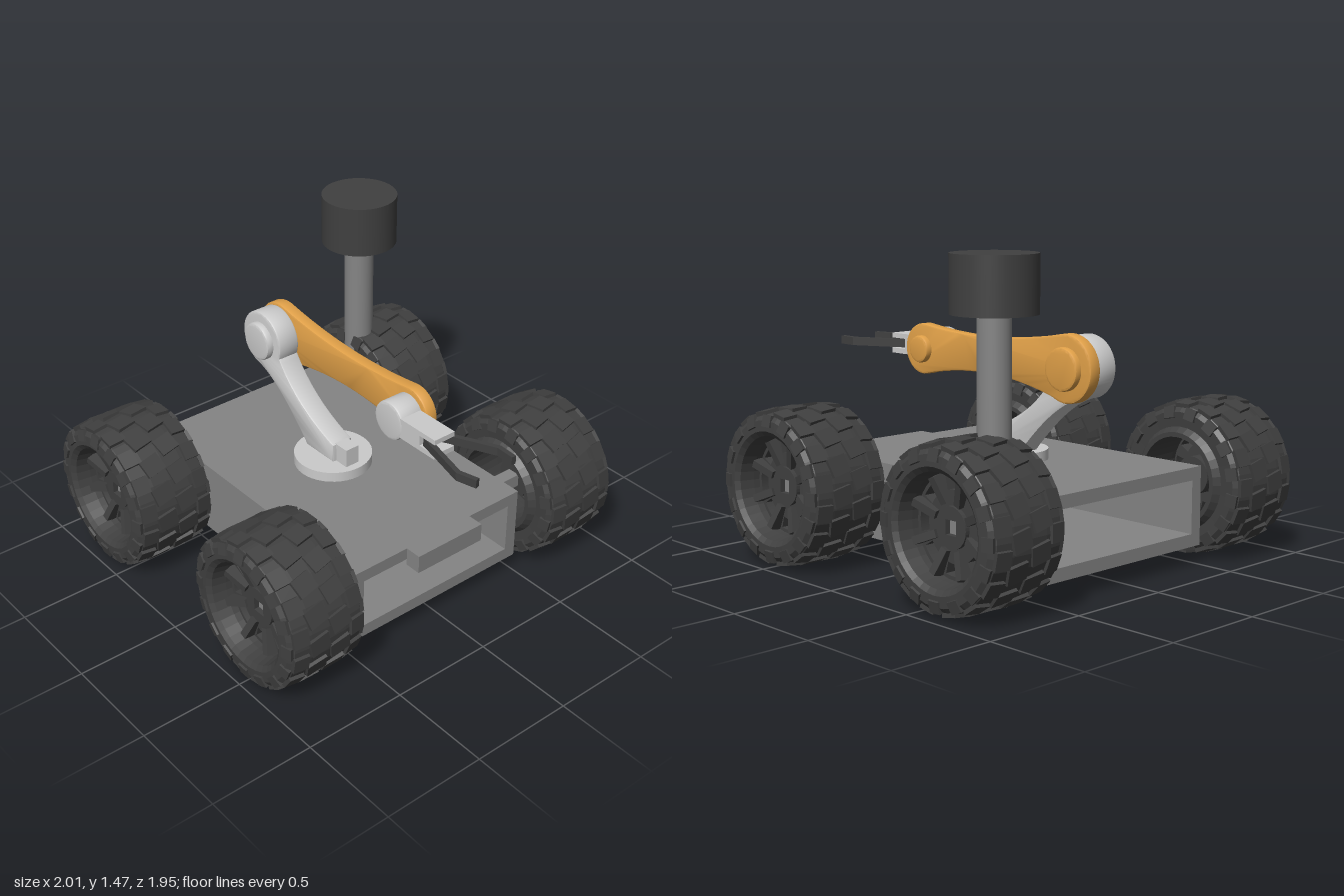
import * as THREE from 'three';
import { mergeGeometries, toCreasedNormals } from 'three/addons/utils/BufferGeometryUtils.js';

const mat = (color, flatShading = false) => {
  const m = new THREE.MeshStandardMaterial({ color });
  m.flatShading = flatShading;
  return m;
};
const light = mat(0xcccccc), grey = mat(0x858585), dark = mat(0x404040);
const rubber = mat(0x404040, true), orange = mat(0xe0a048);
const rad = THREE.MathUtils.degToRad;

function add(parent, name, geometry, material, x = 0, y = 0, z = 0) {
  const mesh = new THREE.Mesh(geometry, material);
  mesh.name = name;
  mesh.position.set(x, y, z);
  parent.add(mesh);
  return mesh;
}

// Box given by its limits on each axis
function addBox(parent, name, material, [x0, x1], [y0, y1], [z0, z1]) {
  return add(parent, name, new THREE.BoxGeometry(x1 - x0, y1 - y0, z1 - z0), material,
    (x0 + x1) / 2, (y0 + y1) / 2, (z0 + z1) / 2);
}

// Plate cut from a shape in the xy plane, between two z positions, edges softened inward
function plate(shape, z0, z1, bevel = 0.01) {
  const g = new THREE.ExtrudeGeometry(shape, {
    depth: z1 - z0 - 2 * bevel, curveSegments: 20, bevelEnabled: bevel > 0,
    bevelThickness: bevel, bevelSize: bevel, bevelOffset: -bevel, bevelSegments: 2,
  });
  g.translate(0, 0, z0 + bevel);
  return toCreasedNormals(g, 0.6);
}

// Round pin along z
function pin(x, y, r, z0, z1) {
  const shape = new THREE.Shape();
  shape.absarc(x, y, r, 0, Math.PI * 2);
  return plate(shape, z0, z1, 0.012);
}

function rectPath(w, h, y = 0) {
  return new THREE.Path([[-w, y - h], [-w, y + h], [w, y + h], [w, y - h]].map(p => new THREE.Vector2(...p)));
}

// Wheel around z with its outer face towards +z
function createWheel() {
  const wheel = new THREE.Group();
  const profile = [
    [0.2, -0.225], [0.222, -0.225], [0.245, -0.195], [0.315, -0.2], [0.342, -0.178],
    [0.352, -0.09], [0.355, 0], [0.352, 0.09], [0.342, 0.178], [0.315, 0.2],
    [0.265, 0.203], [0.242, 0.185], [0.228, 0.12], [0.215, 0], [0.2, -0.225],
  ].map(p => new THREE.Vector2(...p));
  const tyre = new THREE.LatheGeometry(profile, 36);
  tyre.rotateX(Math.PI / 2);
  add(wheel, 'tyre', tyre, rubber);

  // Staggered tread blocks, and shoulder lugs over both edges
  const blocks = [];
  const count = 16;
  const block = (angle, size, radius, z, twist, tilt = 0) => {
    const g = new THREE.BoxGeometry(...size);
    g.rotateX(tilt);
    g.rotateY(twist);
    g.translate(0, radius, z);
    g.rotateZ(angle);
    blocks.push(g);
  };
  for (let i = 0; i < count; i++) {
    const a = (i / count) * Math.PI * 2, half = Math.PI / count;
    block(a, [0.085, 0.03, 0.1], 0.349, 0.056, 0.2);
    block(a + half, [0.085, 0.03, 0.1], 0.349, -0.056, 0.2);
    for (const s of [-1, 1]) {
      const b = a + (s > 0 ? half : 0);
      block(b, [0.08, 0.03, 0.075], 0.343, s * 0.147, 0, s * 0.12);
      block(b + half, [0.06, 0.055, 0.02], 0.312, s * 0.196, 0, -s * 0.25);
    }
  }
  add(wheel, 'tread', mergeGeometries(blocks), rubber);

  // Rim disc with eight windows and a square axle hole
  const disc = new THREE.Shape();
  disc.absarc(0, 0, 0.23, 0, Math.PI * 2);
  disc.holes.push(rectPath(0.032, 0.032));
  const spokes = [];
  for (let i = 0; i < 8; i++) {
    const a = (i / 8) * Math.PI * 2, w = 0.25;
    const hole = new THREE.Path();
    hole.absarc(0, 0, 0.208, a - w, a + w, false);
    hole.absarc(0, 0, 0.155, a + w, a - w, true);
    hole.closePath();
    disc.holes.push(hole);
    // Rib from hub to rim, between the windows
    const rib = new THREE.BoxGeometry(0.12, 0.035, 0.06);
    rib.rotateY(-0.25);
    rib.translate(0.165, 0, 0.1);
    rib.rotateZ(a + Math.PI / 8);
    spokes.push(rib);
  }
  add(wheel, 'rim', plate(disc, 0.03, 0.09, 0), rubber);
  add(wheel, 'spokes', mergeGeometries(spokes), rubber);

  const hub = new THREE.Shape();
  hub.absarc(0, 0, 0.09, 0, Math.PI * 2);
  hub.holes.push(rectPath(0.032, 0.032));
  add(wheel, 'hub', plate(hub, -0.1, 0.11, 0), rubber);
  return wheel;
}

export function createModel() {
  const model = new THREE.Group();
  model.name = 'rover';

  // Hollow chassis, open at both ends along x
  const section = new THREE.Shape([[-0.5, 0.09], [0.5, 0.09], [0.5, 0.46], [-0.5, 0.46]].map(p => new THREE.Vector2(...p)));
  section.holes.push(rectPath(0.44, 0.125, 0.275));
  const chassis = plate(section, -0.82, 0.68, 0);
  chassis.rotateY(Math.PI / 2);
  add(model, 'chassis', chassis, grey);
  addBox(model, 'frontSensor', grey, [0.68, 0.76], [0.37, 0.46], [-0.19, 0.19]);

  // Wheels and axles
  for (const x of [-0.637, 0.492]) {
    for (const s of [-1, 1]) {
      const wheel = createWheel();
      wheel.name = (x < 0 ? 'rear' : 'front') + (s > 0 ? 'Near' : 'Far') + 'Wheel';
      wheel.position.set(x, 0.365, s * 0.765);
      if (s < 0) wheel.rotation.y = Math.PI;
      model.add(wheel);
      add(model, 'axle', new THREE.BoxGeometry(0.064, 0.064, 0.36), grey, x, 0.365, s * 0.67);
    }
  }

  // Mast with camera head
  add(model, 'mast', new THREE.CylinderGeometry(0.073, 0.073, 0.65, 32), grey, -0.637, 0.9, -0.63);
  add(model, 'mastHead', new THREE.CylinderGeometry(0.187, 0.187, 0.25, 48), dark, -0.637, 1.345, -0.63);

  // Robot arm
  const arm = new THREE.Group();
  arm.name = 'arm';
  model.add(arm);
  add(arm, 'turntable', new THREE.CylinderGeometry(0.188, 0.188, 0.05, 40), light, -0.073, 0.485, 0);
  addBox(arm, 'armFoot', light, [-0.02, 0.075], [0.5, 0.603], [-0.035, 0.04]);

  const ex = -0.545, ey = 0.935, wx = 0.4, wy = 0.943;
  const on = (x, y, r, deg) => [x + r * Math.cos(rad(deg)), y + r * Math.sin(rad(deg))];

  const lower = new THREE.Shape();
  lower.moveTo(-0.2, 0.505);
  lower.lineTo(0, 0.505);
  lower.lineTo(0, 0.6);
  lower.quadraticCurveTo(-0.28, 0.69, ...on(ex, ey, 0.145, -20));
  lower.absarc(ex, ey, 0.145, rad(-20), rad(250), false);
  lower.quadraticCurveTo(-0.43, 0.77, -0.2, 0.505);
  add(arm, 'lowerArm', plate(lower, -0.055, 0.06), light);
  add(arm, 'elbowCap', pin(ex, ey, 0.095, 0.03, 0.093), light);

  const upper = new THREE.Shape();
  upper.moveTo(...on(ex, ey, 0.155, -60));
  upper.quadraticCurveTo(-0.06, 0.918, ...on(wx, wy, 0.122, -110));
  upper.absarc(wx, wy, 0.122, rad(-110), rad(100), false);
  upper.quadraticCurveTo(-0.07, 1.0, ...on(ex, ey, 0.155, 80));
  upper.absarc(ex, ey, 0.155, rad(80), rad(300), false);
  add(arm, 'upperArm', plate(upper, -0.115, -0.052), orange);
  add(arm, 'elbowBoss', pin(ex, ey, 0.098, -0.146, -0.08), orange);
  add(arm, 'wristBoss', pin(wx, wy, 0.065, -0.146, -0.08), orange);

  // Wrist with a forked block
  add(arm, 'wrist', pin(wx, wy, 0.094, -0.075, 0.068), light);
  const fork = new THREE.Shape([
    [0.42, 0.893], [0.702, 0.893], [0.702, 0.918], [0.605, 0.918],
    [0.605, 0.968], [0.702, 0.968], [0.702, 0.992], [0.42, 0.992],
  ].map(p => new THREE.Vector2(...p)));
  add(arm, 'wristFork', plate(fork, -0.05, 0.066, 0), light);

  // Two bent gripper fingers, each a chain of bars
  const fingers = [
    [[0.63, -0.025], [0.7, -0.06], [0.88, -0.147], [0.97, -0.143]],
    [[0.63, 0.05], [0.7, 0.066], [0.905, 0.118], [0.995, 0.094]],
  ];
  for (const path of fingers) {
    for (let i = 0; i < 3; i++) {
      const [x0, z0] = path[i], [x1, z1] = path[i + 1];
      const bar = new THREE.BoxGeometry(Math.hypot(x1 - x0, z1 - z0) + 0.008, 0.04, 0.024);
      add(arm, 'gripperFinger', bar, dark, (x0 + x1) / 2, 0.943, (z0 + z1) / 2)
        .rotation.y = -Math.atan2(z1 - z0, x1 - x0);
    }
  }
  return model;
}
